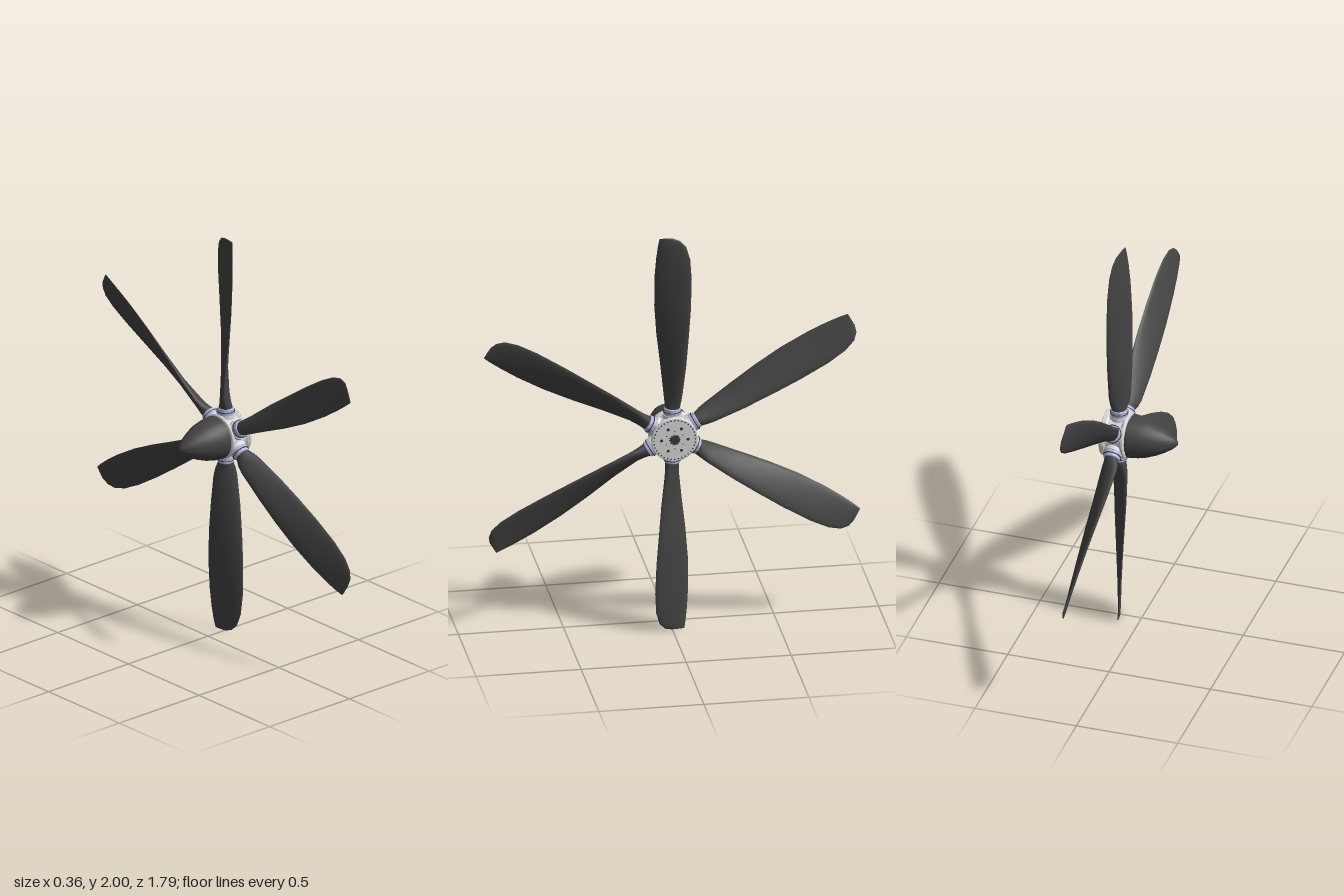
import * as THREE from 'three';
import { toCreasedNormals } from 'three/addons/utils/BufferGeometryUtils.js';

const mat = (name, color) => new THREE.MeshStandardMaterial({ name, color });

// Blade stations: radius, edge A (z, x), edge B (z, x), thickness
const STATIONS = [
  [0.10, 0.024, 0.087, -0.024, 0.135, 0.066],
  [0.14, 0.025, 0.085, -0.026, 0.137, 0.064],
  [0.17, 0.029, 0.071, -0.031, 0.146, 0.052],
  [0.21, 0.034, 0.064, -0.039, 0.150, 0.042],
  [0.35, 0.051, 0.063, -0.058, 0.151, 0.032],
  [0.50, 0.069, 0.067, -0.071, 0.151, 0.028],
  [0.65, 0.080, 0.073, -0.082, 0.148, 0.024],
  [0.80, 0.080, 0.081, -0.087, 0.142, 0.020],
  [0.90, 0.073, 0.088, -0.081, 0.134, 0.016],
  [0.96, 0.066, 0.094, -0.064, 0.125, 0.012],
  [0.99, 0.061, 0.098, -0.036, 0.117, 0.008],
  [1.00, 0.059, 0.100, -0.005, 0.108, 0.005],
];

// Twisted blade lofted through elliptical sections, rising along +y
function bladeGeometry(n = 20) {
  const pos = [], idx = [];
  for (const [r, az, ax, bz, bx, th] of STATIONS) {
    const mx = (ax + bx) / 2, mz = (az + bz) / 2;
    const hx = (bx - ax) / 2, hz = (bz - az) / 2, h = Math.hypot(hx, hz);
    for (let i = 0; i < n; i++) {
      const t = (i / n) * Math.PI * 2, c = Math.cos(t), s = Math.sin(t) * th / 2 / h;
      pos.push(mx + c * hx + s * hz, r, mz + c * hz - s * hx);
    }
  }
  const last = STATIONS.length - 1;
  for (let j = 0; j < last; j++) {
    for (let i = 0; i < n; i++) {
      const k = (i + 1) % n, a = j * n + i, b = j * n + k;
      idx.push(a, b, a + n, b, b + n, a + n);
    }
  }
  // tip cap
  const [r, az, ax, bz, bx] = STATIONS[last];
  pos.push((ax + bx) / 2, r, (az + bz) / 2);
  for (let i = 0; i < n; i++) idx.push(last * n + i, last * n + (i + 1) % n, (last + 1) * n);
  const g = new THREE.BufferGeometry();
  g.setAttribute('position', new THREE.Float32BufferAttribute(pos, 3));
  g.setIndex(idx);
  return toCreasedNormals(g, 0.8);
}

// Profile of [radius, height] turned about y
const turned = (pts, seg = 40) =>
  toCreasedNormals(new THREE.LatheGeometry(pts.map(p => new THREE.Vector2(...p)), seg), 0.5);

export function createModel() {
  const model = new THREE.Group();
  model.name = 'propeller';
  const dark = mat('dark grey', 0x444444);
  const light = mat('light grey', 0xdadada);
  const lilac = mat('pale lilac', 0xb4b4dc);
  const black = mat('bolt grey', 0x383838);

  const rotor = new THREE.Group();
  rotor.name = 'rotor';
  rotor.position.y = 1;
  model.add(rotor);

  const add = (parent, name, geometry, material) => {
    const m = new THREE.Mesh(geometry, material);
    m.name = name;
    parent.add(m);
    return m;
  };

  // Parts turned about the shaft: local y becomes x
  const shaft = new THREE.Group();
  shaft.name = 'shaftParts';
  shaft.rotation.z = -Math.PI / 2;
  rotor.add(shaft);
  add(shaft, 'spinner', turned([[0, -0.18], [0.012, -0.175], [0.033, -0.152], [0.055, -0.118],
    [0.074, -0.08], [0.09, -0.038], [0.1, 0.005], [0.105, 0.052], [0, 0.052]]), dark);
  add(shaft, 'spinnerSpacer', new THREE.CylinderGeometry(0.09, 0.09, 0.012, 32), black)
    .position.y = 0.056;
  add(shaft, 'hubBody', turned([[0, 0.06], [0.106, 0.06], [0.11, 0.064], [0.11, 0.072],
    [0.1, 0.082], [0.1, 0.148], [0.108, 0.158], [0.108, 0.165], [0, 0.165]]), light);
  add(shaft, 'backPlate', turned([[0, 0.165], [0.11, 0.165], [0.11, 0.176], [0.107, 0.179],
    [0, 0.179]]), light);

  // Bolt rings on the back plate
  const boltRing = (name, count, radius, size, turn) => {
    const g = new THREE.CylinderGeometry(size, size, 0.004, 10);
    for (let i = 0; i < count; i++) {
      const a = (i / count) * Math.PI * 2 + turn;
      add(shaft, name, g, black).position.set(radius * Math.cos(a), 0.178, radius * Math.sin(a));
    }
  };
  boltRing('rimBolt', 36, 0.099, 0.0036, 0);
  boltRing('plateBolt', 6, 0.063, 0.0075, Math.PI / 2);
  boltRing('innerBolt', 6, 0.045, 0.003, 0);

  // Splined shaft hole, drawn as a toothed disc
  const star = new THREE.Shape();
  for (let i = 0; i < 32; i++) {
    const a = (i / 32) * Math.PI * 2, r = i % 2 ? 0.021 : 0.03;
    star[i ? 'lineTo' : 'moveTo'](r * Math.cos(a), r * Math.sin(a));
  }
  const spline = add(rotor, 'shaftSpline',
    new THREE.ExtrudeGeometry(star, { depth: 0.003, bevelEnabled: false }), black);
  spline.rotation.y = Math.PI / 2;
  spline.position.x = 0.177;

  // Six blades with their sockets and collars
  const blade = bladeGeometry();
  const socket = new THREE.CylinderGeometry(0.046, 0.05, 0.06, 32);
  const collar = turned([[0, 0.104], [0.043, 0.104], [0.043, 0.122], [0.039, 0.126],
    [0.039, 0.136], [0.036, 0.139], [0, 0.139]], 32);
  const seal = new THREE.TorusGeometry(0.042, 0.0025, 8, 32).rotateX(Math.PI / 2);
  for (let i = 0; i < 6; i++) {
    const arm = new THREE.Group();
    arm.name = 'bladeArm';
    arm.rotation.x = i * Math.PI / 3;
    rotor.add(arm);
    add(arm, 'blade', blade, dark);
    add(arm, 'bladeSocket', socket, light).position.set(0.111, 0.078, 0);
    add(arm, 'bladeCollar', collar, lilac).position.x = 0.111;
    add(arm, 'collarSeal', seal, black).position.set(0.111, 0.123, 0);
  }
  return model;
}
